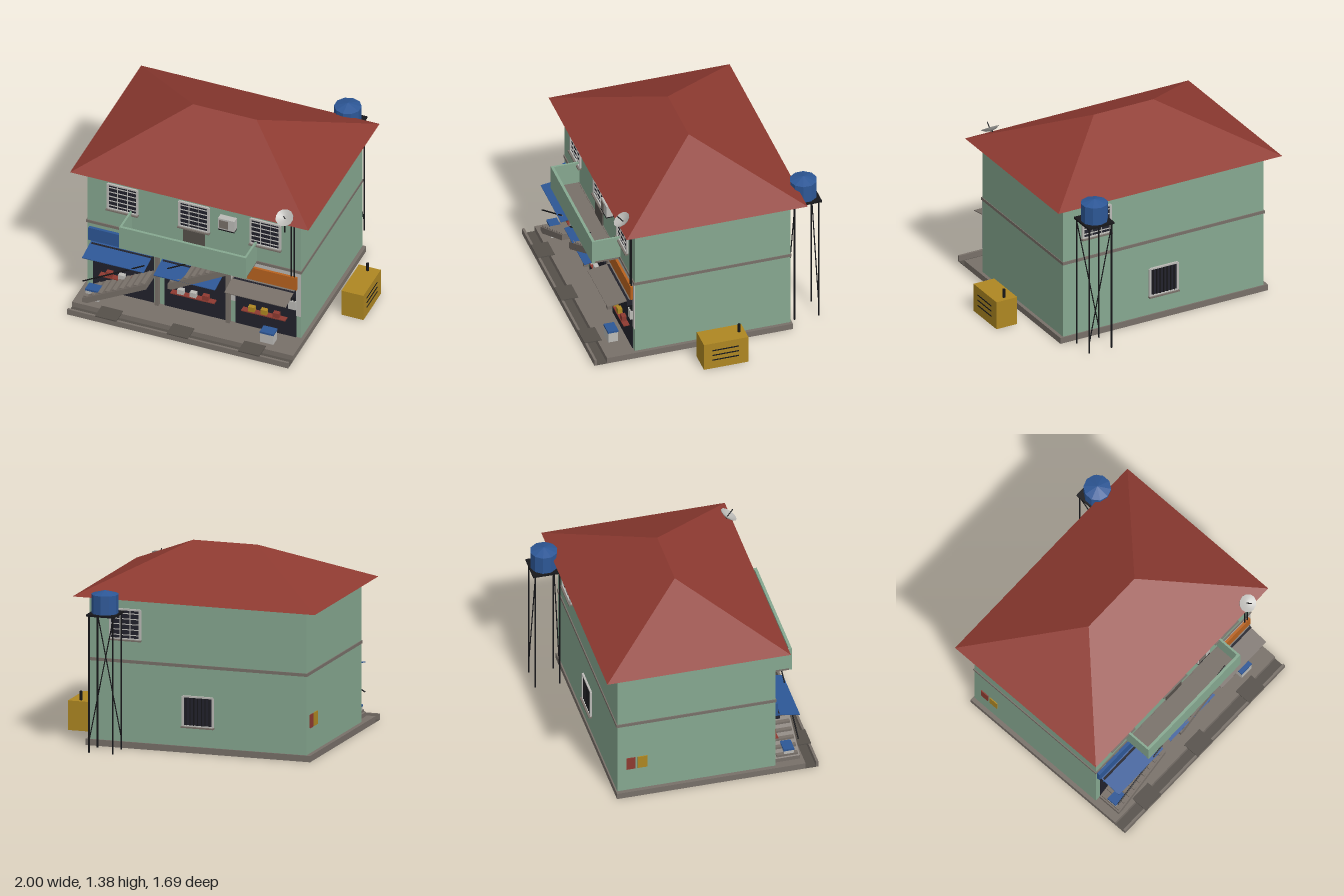
import * as THREE from 'three';

const mat = (name, color, extra = {}) => {
  const m = new THREE.MeshStandardMaterial({ color, ...extra });
  m.name = name;
  return m;
};

export function createModel() {
  const green = mat('wall green', 0x86a890), red = mat('roof red', 0x8e3a31, { flatShading: true });
  const blue = mat('shop blue', 0x2d5796, { flatShading: true }), dark = mat('dark opening', 0x22222c);
  const concrete = mat('concrete', 0x787069), shade = mat('dark concrete', 0x55504a);
  const light = mat('light grey', 0xbbbab6), orange = mat('sign orange', 0xb8621f);
  const yellow = mat('generator yellow', 0xae8722), black = mat('black metal', 0x17171a);
  const model = new THREE.Group();
  model.name = 'shophouse';

  const add = (name, geo, m, parent = model) => {
    const mesh = new THREE.Mesh(geo, m);
    mesh.name = name;
    parent.add(mesh);
    return mesh;
  };
  const box = (name, m, x0, x1, y0, y1, z0, z1, parent = model) => {
    const b = add(name, new THREE.BoxGeometry(x1 - x0, y1 - y0, z1 - z0), m, parent);
    b.position.set((x0 + x1) / 2, (y0 + y1) / 2, (z0 + z1) / 2);
    return b;
  };
  const rod = (name, a, b, r, m = black, parent = model) => {
    const p = new THREE.Vector3(...a), q = new THREE.Vector3(...b), d = q.clone().sub(p);
    const c = add(name, new THREE.CylinderGeometry(r, r, d.length(), 6), m, parent);
    c.position.copy(p).add(q).multiplyScalar(0.5);
    c.quaternion.setFromUnitVectors(new THREE.Vector3(0, 1, 0), d.normalize());
    return c;
  };
  const group = (name) => {
    const g = new THREE.Group();
    g.name = name;
    model.add(g);
    return g;
  };

  // Ground: slab, drain, kerb and drain covers
  box('slab', concrete, -0.935, 0.72, 0, 0.045, -0.605, 0.75);
  box('drainFloor', shade, -0.935, 0.72, 0, 0.004, 0.75, 0.825);
  box('kerb', concrete, -0.935, 0.72, 0, 0.045, 0.825, 0.842);
  for (const x of [-0.725, -0.19, 0.345]) box('drainCover', shade, x, x + 0.16, 0.042, 0.05, 0.72, 0.845);

  // Body and floor band
  box('walls', green, -0.905, 0.695, 0.045, 1.07, -0.595, 0.54);
  box('floorBand', concrete, -0.912, 0.7, 0.605, 0.627, -0.602, 0.547);

  // Hipped roof, closed underneath
  const c = [[-1, 1.07, 0.627], [0.785, 1.07, 0.627], [0.785, 1.07, -0.692], [-1, 1.07, -0.692],
    [-0.345, 1.385, -0.033], [0.13, 1.385, -0.033]];
  const faces = [0, 1, 5, 0, 5, 4, 1, 2, 5, 2, 3, 4, 2, 4, 5, 3, 0, 4, 0, 3, 2, 0, 2, 1];
  const roof = new THREE.BufferGeometry();
  roof.setAttribute('position', new THREE.Float32BufferAttribute(faces.flatMap((i) => c[i]), 3));
  roof.computeVertexNormals();
  add('roof', roof, red);

  // Barred windows, built facing +z about their centre
  const windowAt = (x, y, z, turn, upright) => {
    const g = group('window');
    g.position.set(x, y, z);
    g.rotation.y = turn;
    const w = 0.11, h = 0.105;
    box('windowGlass', dark, -w, w, -h, h, 0, 0.004, g);
    for (const s of [-1, 1]) {
      box('windowJamb', light, s * w - 0.007, s * w + 0.007, -h, h, 0, 0.014, g);
      box('windowRail', light, -w, w, s * h - 0.006, s * h + 0.006, 0, 0.014, g);
    }
    box('windowSill', concrete, -w - 0.01, w + 0.01, -h - 0.012, -h - 0.002, 0, 0.025, g);
    if (upright) {
      for (let i = -3; i <= 3; i++) box('windowBar', black, i * 0.028 - 0.003, i * 0.028 + 0.003, -h, h, 0.005, 0.011, g);
    } else {
      for (let i = -2; i <= 2; i++) box('windowBar', light, -w, w, i * 0.038 - 0.003, i * 0.038 + 0.003, 0.003, 0.009, g);
      for (const v of [-0.037, 0.037]) box('windowMullion', light, v - 0.002, v + 0.002, -h, h, 0.003, 0.01, g);
    }
  };
  for (const x of [-0.64, -0.105, 0.43]) windowAt(x, 0.88, 0.54, 0, false);
  windowAt(0.43, 0.88, -0.595, Math.PI, false);
  windowAt(-0.105, 0.295, -0.595, Math.PI, true);

  // Balcony and its door
  box('balconyFloor', concrete, -0.58, 0.36, 0.605, 0.624, 0.54, 0.725);
  box('balconyFront', green, -0.585, 0.365, 0.61, 0.792, 0.725, 0.745);
  for (const x of [-0.585, 0.35]) box('balconySide', green, x, x + 0.015, 0.624, 0.792, 0.54, 0.73);
  box('balconyDoor', shade, -0.185, -0.025, 0.624, 0.765, 0.54, 0.549);

  // Three shop bays
  const bays = [
    { x: -0.89, sign: blue, awning: blue, poster: blue, goods: [red, light, red] },
    { x: -0.355, sign: green, awning: blue, poster: light, goods: [light, light, red] },
    { x: 0.175, sign: orange, awning: concrete, poster: green, goods: [yellow, yellow, red] },
  ];
  for (const { x, sign, awning, poster, goods } of bays) {
    const g = group('shopBay');
    box('shopOpening', dark, x + 0.03, x + 0.485, 0.045, 0.43, 0.54, 0.546, g);
    box('shopSign', sign, x, x + 0.495, 0.467, 0.573, 0.54, 0.562, g);
    box('shutterBox', dark, x + 0.03, x + 0.485, 0.415, 0.46, 0.54, 0.585, g);
    const a = box('awning', awning, x + 0.02, x + 0.48, 0.442, 0.448, 0.55, 0.727, g);
    a.rotation.x = 0.17;
    box('poster', poster, x + 0.053, x + 0.115, 0.305, 0.405, 0.546, 0.554, g);
    box('shelf', red, x + 0.09, x + 0.42, 0.195, 0.203, 0.546, 0.59, g);
    goods.forEach((m, i) => box('goods', m, x + 0.14 + i * 0.093, x + 0.186 + i * 0.093, 0.203, 0.242, 0.552, 0.585, g));
  }
  for (const x of [-0.39, 0.143]) box('column', concrete, x, x + 0.028, 0.045, 0.605, 0.54, 0.572);
  // Paler upper wall panels beside and above the shops
  box('palePanel', light, -0.36, 0.143, 0.573, 0.605, 0.54, 0.544);
  box('palePanel', light, 0.171, 0.695, 0.43, 0.605, 0.54, 0.544);
  box('palePanel', light, 0.66, 0.695, 0.23, 0.43, 0.54, 0.544);
  box('palePanel', light, 0.171, 0.205, 0.23, 0.43, 0.54, 0.544);

  // Two stair flights with treads and handrails
  const flight = (pts, steps, start, end) => {
    const geo = new THREE.ExtrudeGeometry(new THREE.Shape(pts.map((p) => new THREE.Vector2(...p))), { depth: 0.18, bevelEnabled: false });
    add('stairFlight', geo, concrete).position.z = 0.546;
    for (let i = 0; i < steps; i++) {
      const t = (i + 0.5) / steps, x = start[0] + (end[0] - start[0]) * t, y = start[1] + (end[1] - start[1]) * t;
      box('stairTread', concrete, x - 0.018, x + 0.022, y - 0.012, y + 0.006, 0.56, 0.715);
    }
  };
  flight([[-0.872, 0.075], [-0.872, 0.045], [-0.835, 0.045], [-0.39, 0.29], [-0.39, 0.335]], 9, [-0.872, 0.075], [-0.39, 0.335]);
  flight([[-0.23, 0.385], [-0.23, 0.343], [-0.2, 0.343], [0.25, 0.605], [0.25, 0.628], [0.2, 0.628]], 8, [-0.23, 0.385], [0.2, 0.625]);
  rod('handrail', [-0.87, 0.22, 0.715], [-0.41, 0.485, 0.715], 0.005);
  rod('handrail', [-0.235, 0.51, 0.715], [0.24, 0.78, 0.715], 0.005);

  // Cool boxes and meter box
  for (const x of [-0.86, 0.447]) {
    box('coolBox', light, x, x + 0.098, 0.045, 0.122, 0.615, 0.685);
    box('coolBoxLid', blue, x - 0.003, x + 0.101, 0.122, 0.137, 0.612, 0.688);
  }
  box('meterBox', light, 0.607, 0.662, 0.293, 0.362, 0.54, 0.563);

  // Air conditioner
  box('airConditioner', light, 0.095, 0.217, 0.87, 0.96, 0.545, 0.595);
  box('airConditionerGrille', concrete, 0.105, 0.17, 0.882, 0.948, 0.595, 0.599);
  box('airConditionerBracket', black, 0.095, 0.217, 0.862, 0.87, 0.54, 0.597);

  // Drain pipes and satellite dish
  for (const x of [0.625, 0.65]) rod('pipe', [x, 0.36, 0.552], [x, 1.075, 0.552], 0.005);
  rod('dishMast', [0.59, 0.97, 0.585], [0.59, 1.1, 0.585], 0.005);
  const dish = group('satelliteDish');
  dish.position.set(0.597, 1.094, 0.592);
  dish.rotation.x = 0.6;
  const bowl = [[0, 0], [0.035, 0.006], [0.064, 0.022], [0.064, 0.025], [0.035, 0.01], [0, 0.004]];
  add('dishBowl', new THREE.LatheGeometry(bowl.map((p) => new THREE.Vector2(...p)), 12), light, dish);
  rod('dishFeed', [0, 0, 0], [0.005, 0.07, 0.005], 0.004, black, dish);

  // Water tank on its stand
  const xs = [0.44, 0.616], zs = [-0.65, -0.827];
  for (const x of xs) for (const z of zs) rod('tankLeg', [x, 0, z], [x, 0.972, z], 0.006);
  rod('tankBrace', [xs[1], 0.95, zs[0]], [xs[0], 0.08, zs[0]], 0.004);
  rod('tankBrace', [xs[0], 0.95, zs[1]], [xs[1], 0.08, zs[1]], 0.004);
  box('tankPlatform', black, 0.425, 0.632, 0.97, 0.984, -0.845, -0.636);
  add('tank', new THREE.CylinderGeometry(0.095, 0.095, 0.135, 10), blue).position.set(0.528, 1.051, -0.742);
  add('tankLid', new THREE.ConeGeometry(0.097, 0.027, 10), blue).position.set(0.528, 1.132, -0.742);

  // Generator
  box('generator', yellow, 0.832, 0.997, 0, 0.21, -0.192, 0.132);
  for (const y of [0.07, 0.11, 0.15]) box('generatorLouvre', black, 0.997, 1, y - 0.004, y + 0.004, -0.122, 0.07);
  rod('generatorExhaust', [0.915, 0.2, -0.15], [0.915, 0.275, -0.15], 0.01);

  // Notices on the side wall
  box('notice', red, -0.912, -0.904, 0.225, 0.32, -0.53, -0.465);
  box('notice', yellow, -0.912, -0.904, 0.225, 0.32, -0.45, -0.38);
  return model;
}
